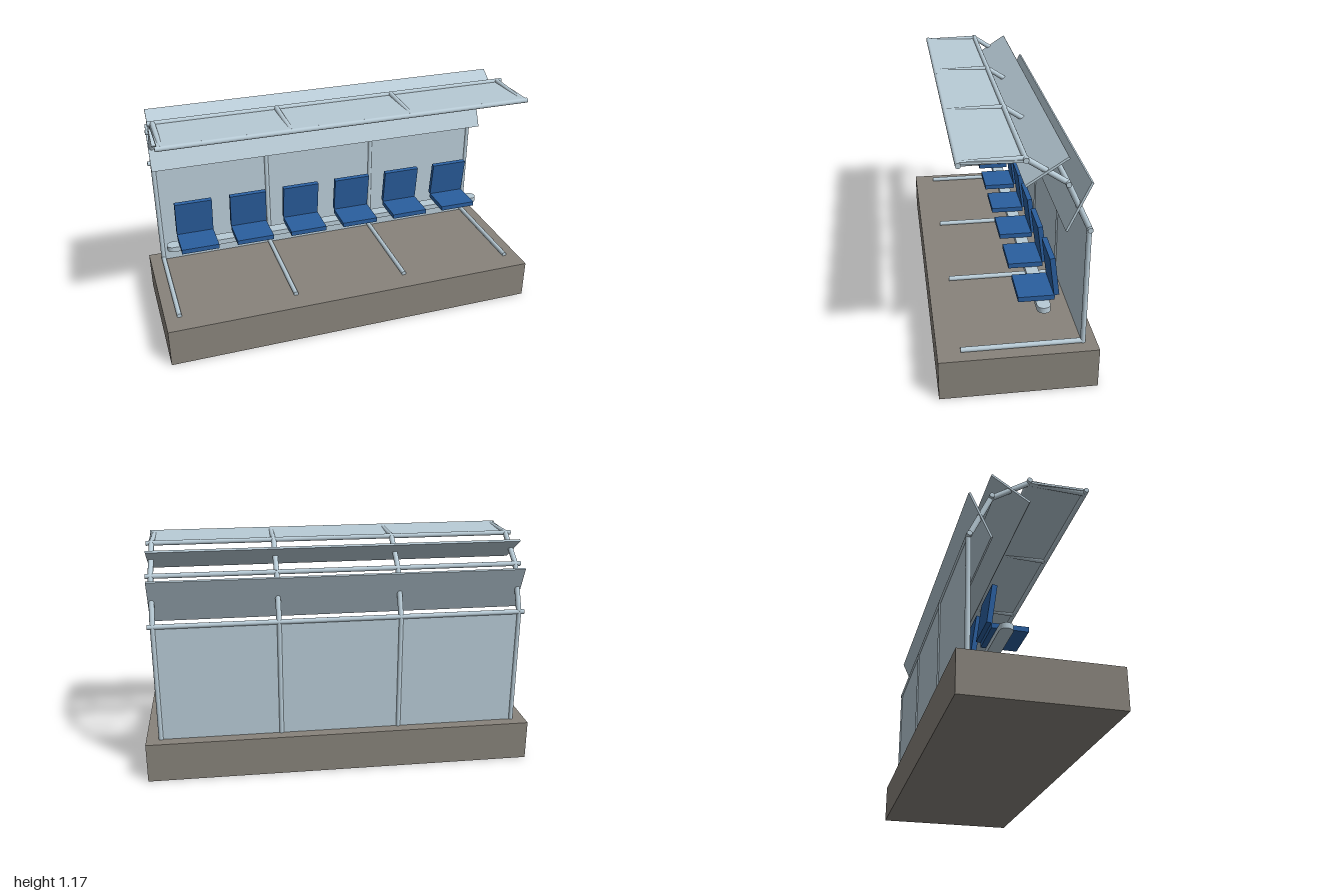
import * as THREE from 'three';

const mat = (name, color) => {
  const m = new THREE.MeshStandardMaterial({ color });
  m.name = name;
  return m;
};

export function createModel() {
  const root = new THREE.Group();
  root.name = 'waitingShelter';
  const stone = mat('stone', 0x88837b);
  const metal = mat('paleSteel', 0xb8cbd6);
  const glass = mat('paleGlass', 0xb8cbd6);
  const blue = mat('seatBlue', 0x2a5f9f);

  const add = (parent, name, geo, material, x = 0, y = 0, z = 0, rx = 0) => {
    const m = new THREE.Mesh(geo, material);
    m.name = name;
    m.position.set(x, y, z);
    m.rotation.x = rx;
    parent.add(m);
    return m;
  };
  const box = (w, h, d) => new THREE.BoxGeometry(w, h, d);

  // Round bar between two points
  const bar = (name, a, b, r) => {
    const d = b.clone().sub(a);
    const m = add(root, name, new THREE.CylinderGeometry(r, r, d.length(), 16), metal);
    m.position.copy(a).add(b).multiplyScalar(0.5);
    m.quaternion.setFromUnitVectors(new THREE.Vector3(0, 1, 0), d.normalize());
  };
  const v = (x, y, z) => new THREE.Vector3(x, y, z);

  // Platform and rear wall
  add(root, 'platform', box(2, 0.205, 0.75), stone, 0, 0.1025, 0);
  add(root, 'rearPanel', box(1.85, 0.605, 0.01), glass, 0, 0.507, -0.31);

  // Roof profile as [z, y] joints, from the post top to the front edge
  const joints = [[-0.31, 0.81], [-0.205, 1.037], [-0.02, 1.159], [0.263, 1.152]];

  // Frames: floor bar, post and angled roof ribs
  for (const x of [-0.925, -0.308, 0.308, 0.925]) {
    bar('floorBar', v(x, 0.213, 0.265), v(x, 0.213, -0.31), 0.0125);
    bar('post', v(x, 0.2, -0.31), v(x, 0.81, -0.31), 0.0125);
    for (let i = 0; i < 3; i++) {
      const [z0, y0] = joints[i], [z1, y1] = joints[i + 1];
      bar('roofRib', v(x, y0, z0), v(x, y1, z1), 0.0135);
    }
  }

  // Long rails through every roof joint
  for (const [z, y] of joints) bar('roofRail', v(-0.952, y, z), v(0.952, y, z), 0.0125);

  // Roof panels, each crossing its rib segment at the opposite slope
  for (let i = 0; i < 3; i++) {
    const [z0, y0] = joints[i], [z1, y1] = joints[i + 1];
    const dz = z1 - z0, dy = y1 - y0;
    add(root, 'roofPanel', box(1.885, 0.011, Math.hypot(dz, dy)), glass,
      0, (y0 + y1) / 2, (z0 + z1) / 2, Math.atan2(dy, dz));
  }

  // Seat beam with rounded ends
  const r = 0.032, end = 0.915 - r;
  const outline = new THREE.Shape();
  outline.absarc(end, 0, r, -Math.PI / 2, Math.PI / 2);
  outline.absarc(-end, 0, r, Math.PI / 2, Math.PI * 1.5);
  outline.closePath();
  const beam = new THREE.ExtrudeGeometry(outline, { depth: 0.028, bevelEnabled: false, curveSegments: 16 });
  beam.rotateX(-Math.PI / 2);
  add(root, 'seatBeam', beam, metal, 0, 0.372, -0.127);

  // Six seats
  for (let i = 0; i < 6; i++) {
    const seat = new THREE.Group();
    seat.name = 'seat';
    seat.position.x = -0.75 + i * 0.3;
    add(seat, 'seatCushion', box(0.2, 0.025, 0.172), blue, 0, 0.4125, -0.099);
    add(seat, 'seatBack', box(0.2, 0.198, 0.025), blue, 0, 0.523, -0.181, 0.13);
    root.add(seat);
  }
  return root;
}
